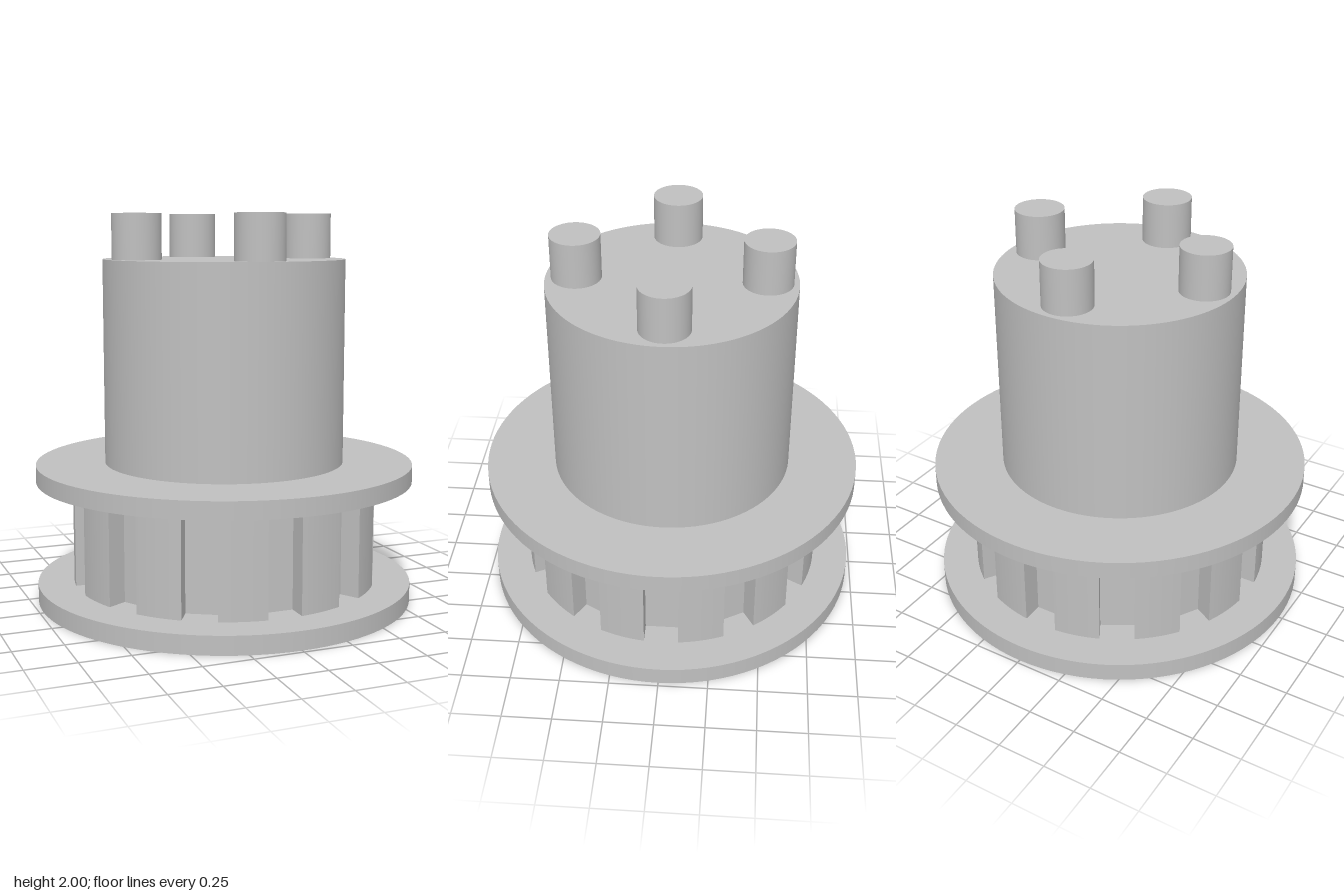
import * as THREE from 'three';

export function createModel() {
  const group = new THREE.Group();
  const metal = new THREE.MeshStandardMaterial({ color: 0xc0c0c0 });
  metal.name = 'grey metal';

  const add = (name, geometry, x, y, z) => {
    const mesh = new THREE.Mesh(geometry, metal);
    mesh.name = name;
    mesh.position.set(x, y, z);
    group.add(mesh);
  };
  const disc = (name, radius, bottom, top, x = 0, z = 0) =>
    add(name, new THREE.CylinderGeometry(radius, radius, top - bottom, 96), x, (bottom + top) / 2, z);

  // Flanges either side of the toothed wheel
  disc('lowerFlange', 0.98, 0, 0.095);
  disc('upperFlange', 0.98, 0.63, 0.72);

  // Toothed wheel: 12 teeth separated by straight-sided slots
  const teeth = 12, outer = 0.792, slotFloor = 0.68, halfSlot = 0.088;
  const pitch = (Math.PI * 2) / teeth;
  const slotAngle = Math.asin(halfSlot / outer);
  const shape = new THREE.Shape();
  for (let i = 0; i < teeth; i++) {
    const a = i * pitch, c = Math.cos(a), s = Math.sin(a);
    const right = [slotFloor * c + halfSlot * s, slotFloor * s - halfSlot * c];
    const left = [slotFloor * c - halfSlot * s, slotFloor * s + halfSlot * c];
    if (i === 0) shape.moveTo(...right);
    else shape.lineTo(...right);
    shape.lineTo(...left);
    shape.absarc(0, 0, outer, a + slotAngle, a + pitch - slotAngle, false);
  }
  shape.closePath();
  const wheel = new THREE.ExtrudeGeometry(shape, { depth: 0.535, bevelEnabled: false, curveSegments: 8 });
  wheel.rotateX(-Math.PI / 2);
  add('toothedWheel', wheel, 0, 0.095, 0);

  // Hub with four drive pins on its end
  disc('hub', 0.622, 0.72, 1.77);
  for (let i = 0; i < 4; i++) {
    const a = (i * Math.PI) / 2;
    disc('drivePin', 0.125, 1.77, 2, 0.469 * Math.cos(a), 0.469 * Math.sin(a));
  }
  return group;
}
